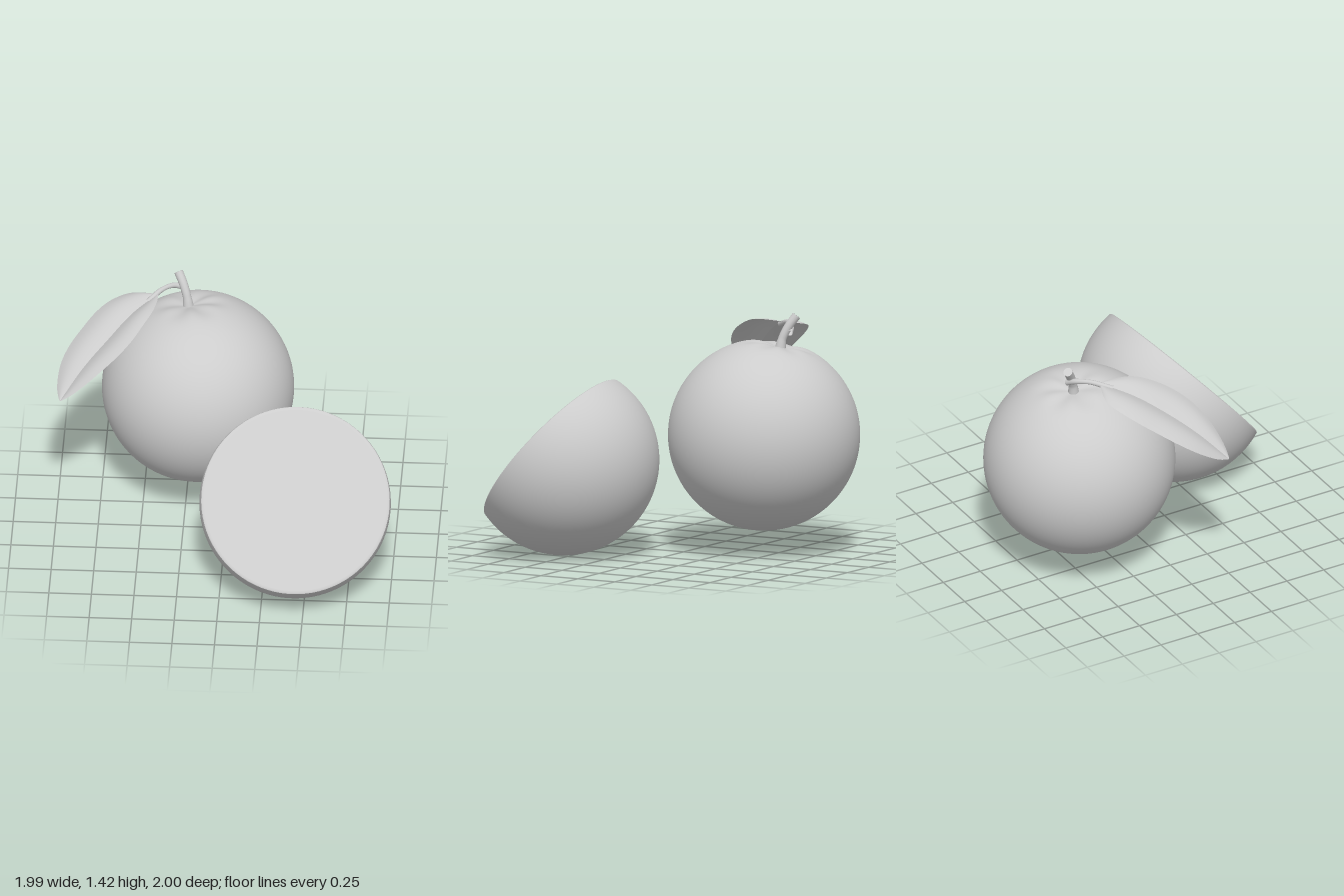
import * as THREE from 'three';
import { mergeVertices } from 'three/addons/utils/BufferGeometryUtils.js';

const V = (x, y, z) => new THREE.Vector3(x, y, z);
const UP = V(0, 1, 0);

export function createModel() {
  const model = new THREE.Group();
  model.name = 'fruitAndHalf';
  const grey = new THREE.MeshStandardMaterial({ color: 0xcccccc, side: THREE.DoubleSide });
  grey.name = 'lightGrey';

  const add = (name, geometry, parent = model) => {
    const mesh = new THREE.Mesh(geometry, grey);
    mesh.name = name;
    parent.add(mesh);
    return mesh;
  };

  // Weld a geometry so its normals are smooth across seams
  const smooth = (geometry) => {
    geometry.deleteAttribute('uv');
    geometry.deleteAttribute('normal');
    const welded = mergeVertices(geometry, 1e-5);
    welded.computeVertexNormals();
    return welded;
  };

  // Tube whose radius changes along its length, with closed ends
  const taperedTube = (points, radiusAt) => {
    const curve = new THREE.CatmullRomCurve3(points);
    const rings = 24, sides = 14;
    const geometry = new THREE.TubeGeometry(curve, rings, 1, sides);
    const pos = geometry.attributes.position;
    const p = V(), c = V();
    for (let i = 0; i < pos.count; i++) {
      const t = Math.floor(i / (sides + 1)) / rings;
      curve.getPointAt(t, c);
      p.fromBufferAttribute(pos, i).sub(c).multiplyScalar(radiusAt(t)).add(c);
      pos.setXYZ(i, p.x, p.y, p.z);
    }
    return smooth(geometry);
  };

  // Whole fruit: sphere with a creased dimple around the stem
  const skin = new THREE.SphereGeometry(0.564, 80, 90);
  const pos = skin.attributes.position;
  const p = V();
  for (let i = 0; i < pos.count; i++) {
    p.fromBufferAttribute(pos, i);
    const a = p.angleTo(UP);
    const theta = Math.atan2(p.z, p.x);
    const dimple = 0.075 * Math.exp(-((a / 0.2) ** 2));
    const crease = 0.009 * Math.exp(-(((a - 0.26) / 0.13) ** 2)) * (1 + Math.cos(6 * theta + Math.sin(theta)));
    p.multiplyScalar(1 - dimple - crease);
    pos.setXYZ(i, p.x, p.y, p.z);
  }
  const fruit = add('wholeFruit', smooth(skin));
  fruit.position.set(-0.187, 0.704, -0.436);
  fruit.quaternion.setFromUnitVectors(UP, V(-0.11, 1, -0.14).normalize());

  // Stem with a flared foot and a flat cut top
  const stemRadius = (t) => 0.024 + 0.012 * Math.max(0, 1 - t * 3) + 0.003 * t;
  add('stem', taperedTube(
    [V(-0.246, 1.19, -0.508), V(-0.256, 1.27, -0.52), V(-0.28, 1.345, -0.55), V(-0.31, 1.405, -0.585)], stemRadius));
  const cap = add('stemTop', new THREE.CircleGeometry(0.027, 16));
  cap.position.set(-0.31, 1.405, -0.585);
  cap.quaternion.setFromUnitVectors(V(0, 0, 1), V(-0.42, 0.78, -0.46).normalize());

  // Leaf stalk
  add('leafStalk', taperedTube(
    [V(-0.265, 1.305, -0.565), V(-0.33, 1.338, -0.54), V(-0.4, 1.348, -0.475), V(-0.48, 1.318, -0.38)],
    (t) => 0.014 + 0.004 * Math.abs(2 * t - 1)));

  // Leaf: two curved blades meeting in a fold along the midrib
  const midrib = new THREE.CatmullRomCurve3([
    V(-0.43, 1.34, -0.43), V(-0.57, 1.29, -0.29), V(-0.7, 1.2, -0.15), V(-0.84, 1.085, -0.01), V(-0.968, 0.94, 0.125)]);
  const spline = (pairs) => new THREE.SplineCurve(pairs.map(([t, w]) => new THREE.Vector2(t, w)));
  const blades = [
    { name: 'leafBladeFront', sign: 1, lift: 0.06, edge: spline([[0, 0.015], [0.08, 0.07], [0.2, 0.13], [0.35, 0.165],
      [0.5, 0.182], [0.65, 0.175], [0.8, 0.135], [0.93, 0.07], [1, 0.008]]) },
    { name: 'leafBladeBack', sign: -1, lift: -0.015, edge: spline([[0, 0.02], [0.08, 0.14], [0.2, 0.195], [0.35, 0.218],
      [0.5, 0.215], [0.65, 0.198], [0.8, 0.155], [0.93, 0.08], [1, 0.008]]) },
  ];
  const leaf = new THREE.Group();
  leaf.name = 'leaf';
  model.add(leaf);
  for (const { name, sign, lift, edge } of blades) {
    const rows = 48, cols = 8;
    const geometry = new THREE.PlaneGeometry(1, 1, cols, rows);
    const q = geometry.attributes.position;
    for (let r = 0; r <= rows; r++) {
      const e = edge.getPoint(r / rows);
      const m = midrib.getPoint(THREE.MathUtils.clamp(e.x, 0, 1));
      for (let c = 0; c <= cols; c++) {
        const u = sign > 0 ? c / cols : 1 - c / cols;
        const w = sign * u * e.y;
        const rise = lift * (e.y / 0.2) * u + 0.025 * Math.sin(Math.PI * u) * (e.y / 0.2);
        q.setXYZ(r * (cols + 1) + c, m.x + 0.72 * w, m.y + rise, m.z + 0.69 * w);
      }
    }
    geometry.computeVertexNormals();
    add(name, geometry, leaf);
  }

  // Half fruit: rounded skin, narrow peel rim and flat cut face
  const half = new THREE.Group();
  half.name = 'halfFruit';
  half.position.set(0.437, 0.562, 0.562);
  half.quaternion.setFromUnitVectors(UP, V(0.06, 0.645, 0.76).normalize());
  model.add(half);
  const R = 0.562, cut = 0.098;
  const end = Math.asin(cut / R);
  const profile = [];
  for (let i = 0; i <= 40; i++) {
    const a = -Math.PI / 2 + (end + Math.PI / 2) * (i / 40);
    profile.push(new THREE.Vector2(Math.max(0, R * Math.cos(a)), R * Math.sin(a)));
  }
  add('halfSkin', new THREE.LatheGeometry(profile, 80), half);
  const rimRadius = R * Math.cos(end);
  add('peelRim', new THREE.LatheGeometry([
    new THREE.Vector2(rimRadius, cut), new THREE.Vector2(rimRadius - 0.006, cut + 0.005),
    new THREE.Vector2(rimRadius - 0.018, cut + 0.006)], 80), half);
  const face = add('cutFace', new THREE.CircleGeometry(rimRadius - 0.018, 80), half);
  face.rotation.x = -Math.PI / 2;
  face.position.y = cut + 0.006;

  return model;
}
